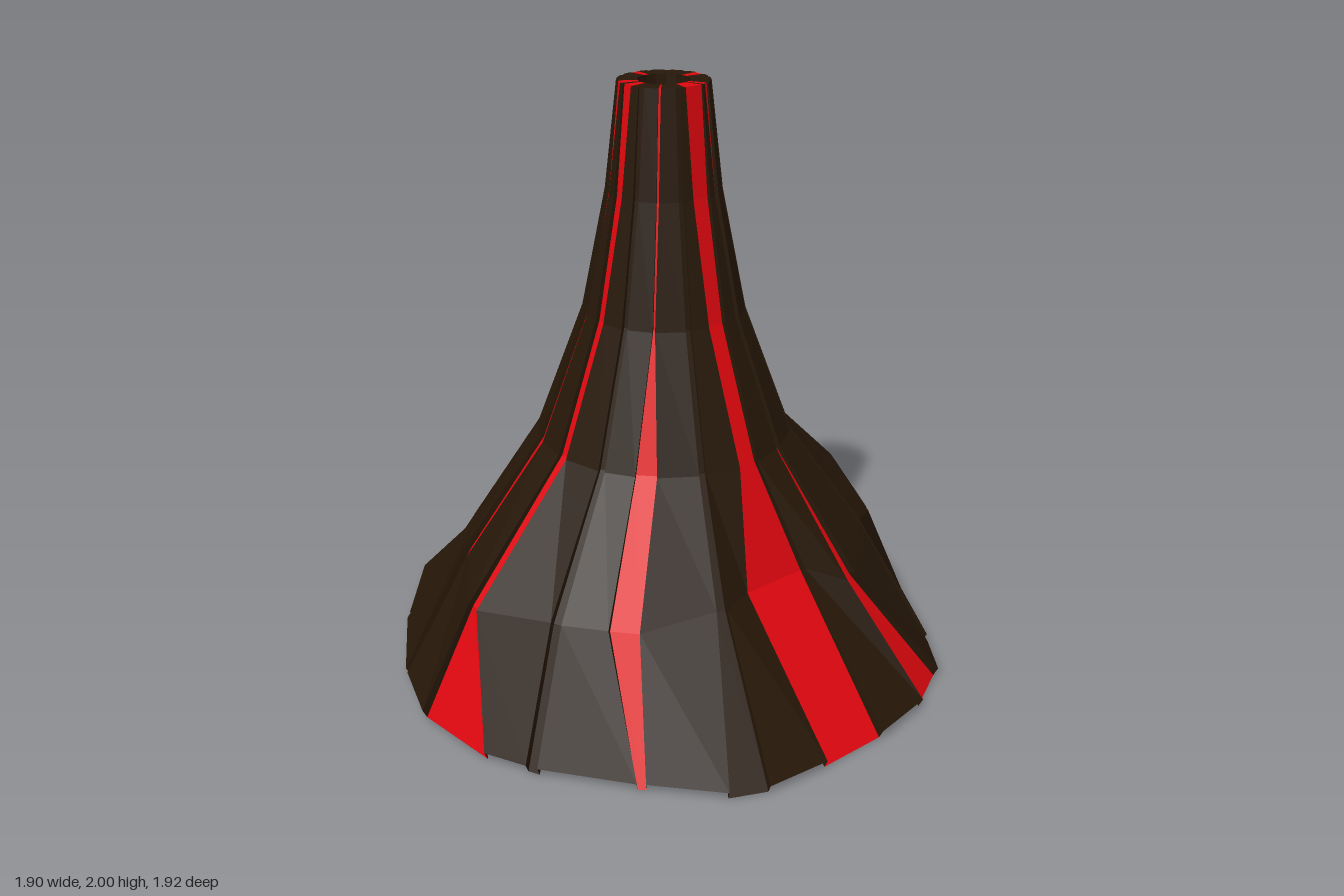
import * as THREE from 'three';

const rock = new THREE.MeshStandardMaterial({ color: 0x261708, flatShading: true, side: THREE.DoubleSide });
const lava = new THREE.MeshStandardMaterial({ color: 0xdd070e, flatShading: true, side: THREE.DoubleSide });

const STEP = 22.5;
// One row per channel, every 22.5 degrees from the front towards +x:
// [knee radius, knee height, knee start/end offset (deg), foot radius, foot start/end offset (deg)]
const CHANNELS = [
  [0.59, 0.46, -13, 12, 0.965, -8, 7],
  [0.71, 0.42, -4, 1, 0.985, -1.5, 10.5],
  [0.68, 0.48, -2, 1, 0.94, -2, 1],
  [0.73, 0.45, -11, -8.5, 0.93, -1, 1.5],
  [0.665, 0.58, -16, 6, 0.945, -2, 5.5],
  [0.66, 0.5, -2, 1, 0.925, -2.5, 1],
  [0.65, 0.48, -2.5, 0.5, 1.075, -4.5, -2.5],
  [0.62, 0.45, -1.5, 1.5, 0.92, -1.5, 1],
  [0.61, 0.42, -6, 9.5, 0.965, -1, 1],
  [0.63, 0.44, -1.5, 1.5, 1.02, 0, 2],
  [0.66, 0.46, -1.5, 1.5, 0.93, -0.5, 2],
  [0.7, 0.45, -1.5, 3, 0.93, 0.5, 2.2],
  [0.8, 0.4, -2, 1.5, 0.96, -5.5, 14],
  [0.73, 0.42, -1.5, 1.5, 0.945, 0.5, 3],
  [0.71, 0.42, -9, -1, 0.94, 0, 1.7],
  [0.66, 0.46, -3, 0, 1.0, -6, 1.5],
];
// Channels that carry lava: half-widths at the neck and up the chimney
const LAVA = {
  0: { neck: 0.038, chimney: 0.035 },
  1: { neck: 0.012, chimney: 0.012 },
  4: { neck: 0.02, chimney: 0.02 },
  8: { neck: 0.078, chimney: 0.015 },
  11: { neck: 0.022, chimney: 0.02 },
  12: { neck: 0.02, chimney: 0.02 },
  14: { neck: 0.035, chimney: 0.004 },
};
const DRY = { neck: 0.012, chimney: 0.01 };
// Shared upper rings from the rim to the neck: [height, radius, channel depth]
const RINGS = [[2, 0.15, 0.006], [1.65, 0.19, 0.012], [1.25, 0.27, 0.015], [0.82, 0.43, 0.015]];

const point = (deg, r, y) => {
  const a = THREE.MathUtils.degToRad(deg);
  return new THREE.Vector3(Math.sin(a) * r, y, Math.cos(a) * r);
};

// Both edges of a channel, top to bottom, at rock level and at channel-floor level
function channelEdges([kneeR, kneeY, k0, k1, footR, f0, f1], i) {
  const { neck, chimney } = LAVA[i] ?? DRY;
  const centre = i * STEP;
  const edges = { left: [], right: [], floorLeft: [], floorRight: [] };
  const add = (d0, d1, r, y, dr, dy) => {
    edges.left.push(point(centre + d0, r, y));
    edges.right.push(point(centre + d1, r, y));
    edges.floorLeft.push(point(centre + d0, r - dr, y - dy));
    edges.floorRight.push(point(centre + d1, r - dr, y - dy));
  };
  RINGS.forEach(([y, r, depth], level) => {
    const w = level === 3 ? neck : chimney;
    // The channel turns gradually towards its knee
    const turn = (k0 + k1) / 4 * level / 3;
    const half = THREE.MathUtils.radToDeg(Math.asin(w / r));
    add(turn - half, turn + half, r, y, depth, 0);
  });
  add(k0, k1, kneeR, kneeY, 0.018, 0.012);
  add(f0, f1, footR, 0.03, 0.015, 0.03);
  return edges;
}

// Adds the quads between two edges that run downwards, left to right
function strip(out, left, right) {
  for (let k = 0; k < left.length - 1; k++) {
    const [a, b, c, d] = [left[k], left[k + 1], right[k + 1], right[k]];
    for (const p of [a, b, c, a, c, d]) out.push(p);
  }
}

function addMesh(group, name, points, material) {
  const geometry = new THREE.BufferGeometry().setFromPoints(points);
  geometry.computeVertexNormals();
  const mesh = new THREE.Mesh(geometry, material);
  mesh.name = name;
  group.add(mesh);
}

export function createModel() {
  const volcano = new THREE.Group();
  volcano.name = 'volcano';
  const edges = CHANNELS.map(channelEdges);
  const slabs = [], walls = [], gullies = [], streams = [], rimRock = [], rimLava = [];
  const ventR = 0.085, ventY = 1.8;

  // Flat lip from an outer top edge in to the vent
  const lip = (out, p, q) => {
    const inner = (v) => v.clone().setY(0).setLength(ventR).setY(2);
    strip(out, [inner(p), p], [inner(q), q]);
  };

  edges.forEach((e, i) => {
    const next = edges[(i + 1) % edges.length];
    const hot = i in LAVA;
    // Raised rock slab between this channel and the next
    strip(slabs, e.right, next.left);
    lip(rimRock, e.right[0], next.left[0]);
    // Channel floor and its two side walls
    strip(hot ? streams : gullies, e.floorLeft, e.floorRight);
    strip(walls, e.left, e.floorLeft);
    strip(walls, e.floorRight, e.right);
    lip(hot ? rimLava : rimRock, e.floorLeft[0], e.floorRight[0]);
  });

  addMesh(volcano, 'rockSlabs', slabs, rock);
  addMesh(volcano, 'channelWalls', walls, rock);
  addMesh(volcano, 'gullies', gullies, rock);
  addMesh(volcano, 'lavaStreams', streams, lava);
  addMesh(volcano, 'craterRim', rimRock, rock);
  addMesh(volcano, 'lavaOverRim', rimLava, lava);

  // Vent with a lava pool at its floor
  const vent = new THREE.Mesh(new THREE.CylinderGeometry(ventR, ventR, 2 - ventY, 16, 1, true), rock);
  vent.position.y = (2 + ventY) / 2;
  vent.name = 'vent';
  const pool = new THREE.Mesh(new THREE.CircleGeometry(ventR, 16), lava);
  pool.rotation.x = -Math.PI / 2;
  pool.position.y = ventY;
  pool.name = 'lavaPool';
  volcano.add(vent, pool);
  return volcano;
}
